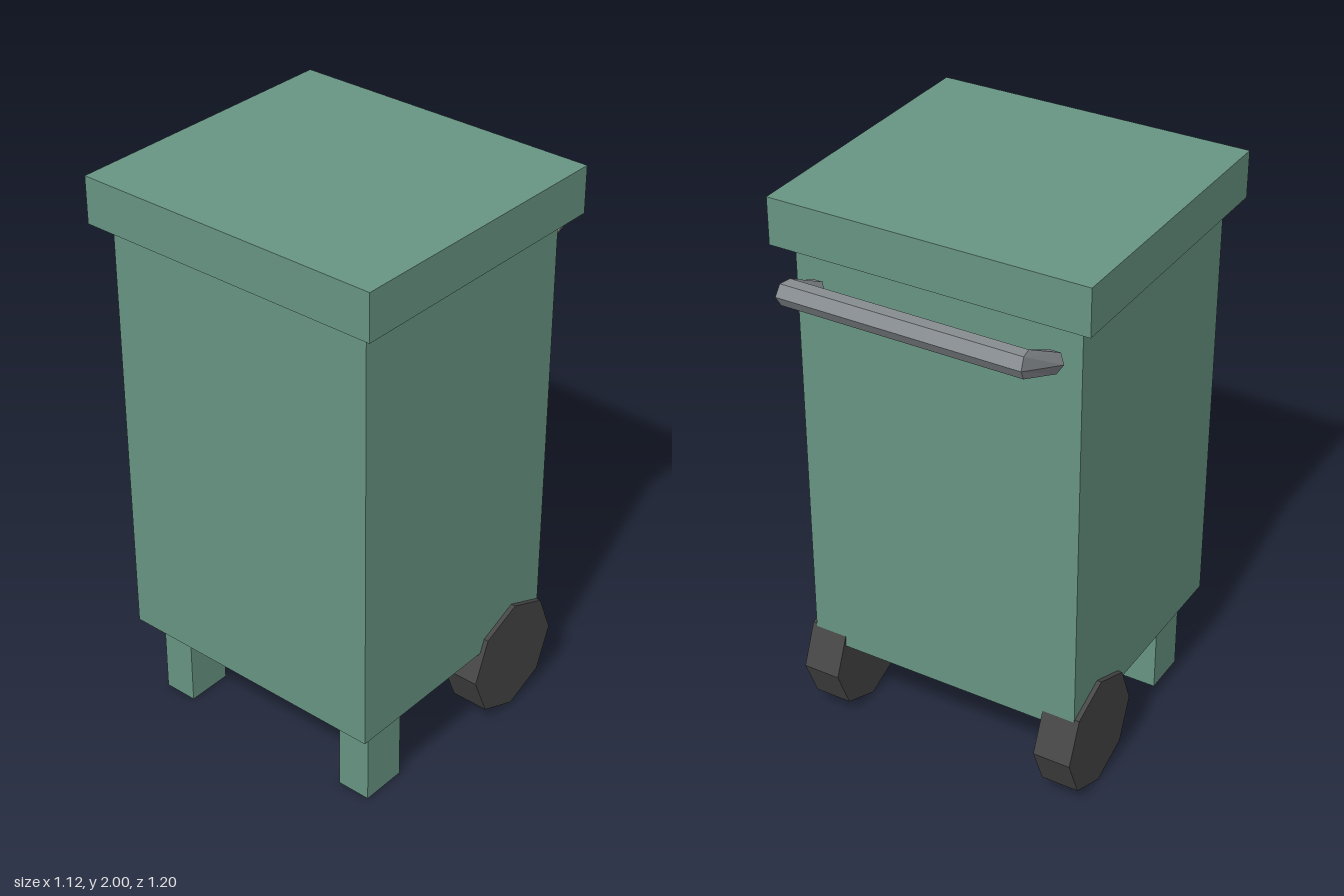
import * as THREE from 'three';

const material = (color) => new THREE.MeshStandardMaterial({ color, flatShading: true });

// Box given by its minimum and maximum corners
function box(name, [x0, y0, z0], [x1, y1, z1], mat) {
  const mesh = new THREE.Mesh(new THREE.BoxGeometry(x1 - x0, y1 - y0, z1 - z0), mat);
  mesh.position.set((x0 + x1) / 2, (y0 + y1) / 2, (z0 + z1) / 2);
  mesh.name = name;
  return mesh;
}

// Six-sided handle: arm end, corner, mirrored corner, mirrored arm end
function handleGeometry() {
  const sides = 6;
  const armEnd = (c, s) => [0.42 + 0.037 * c, 1.7 + 0.035 * s, -0.402 + 0.0145 * s];
  const corner = (c, s) => [0.418 + 0.008 * c, 1.77 + 0.043 * s, -0.557 - 0.043 * c];
  const sections = [[armEnd, 1], [corner, 1], [corner, -1], [armEnd, -1]];
  const positions = [];
  const index = [];
  for (const [section, mirror] of sections) {
    for (let i = 0; i < sides; i++) {
      const a = (i / sides) * Math.PI * 2;
      const [x, y, z] = section(Math.cos(a), Math.sin(a));
      positions.push(x * mirror, y, z);
    }
  }
  for (let s = 0; s < sections.length - 1; s++) {
    for (let i = 0; i < sides; i++) {
      const a = s * sides + i;
      const b = s * sides + ((i + 1) % sides);
      index.push(a, a + sides, b, b, a + sides, b + sides);
    }
  }
  // End caps
  const last = (sections.length - 1) * sides;
  for (let i = 1; i < sides - 1; i++) {
    index.push(0, i, i + 1, last, last + i + 1, last + i);
  }
  const indexed = new THREE.BufferGeometry();
  indexed.setAttribute('position', new THREE.Float32BufferAttribute(positions, 3));
  indexed.setIndex(index);
  const geometry = indexed.toNonIndexed();
  geometry.computeVertexNormals();
  return geometry;
}

export function createModel() {
  const model = new THREE.Group();
  model.name = 'wheeledBin';
  const green = material(0x689583);
  const rubber = material(0x454645);
  const metal = material(0x878c90);

  // Container and overhanging lid
  model.add(box('body', [-0.505, 0.31, -0.377], [0.505, 1.84, 0.548], green));
  model.add(box('lid', [-0.56, 1.837, -0.436], [0.56, 2, 0.6], green));

  // Front legs and octagonal rear wheels
  const wheelGeometry = new THREE.CylinderGeometry(0.21, 0.21, 0.135, 8).rotateZ(Math.PI / 2);
  for (const [side, label] of [[1, 'left'], [-1, 'right']]) {
    const leg = box(label + 'Leg', [0.335, 0, 0.31], [0.457, 0.312, 0.475], green);
    leg.position.x *= side;
    model.add(leg);

    const wheel = new THREE.Mesh(wheelGeometry, rubber);
    wheel.position.set(side * 0.454, 0.21, -0.225);
    wheel.name = label + 'Wheel';
    model.add(wheel);
  }

  // Rear handle
  const handle = new THREE.Mesh(handleGeometry(), metal);
  handle.name = 'handle';
  model.add(handle);

  return model;
}
